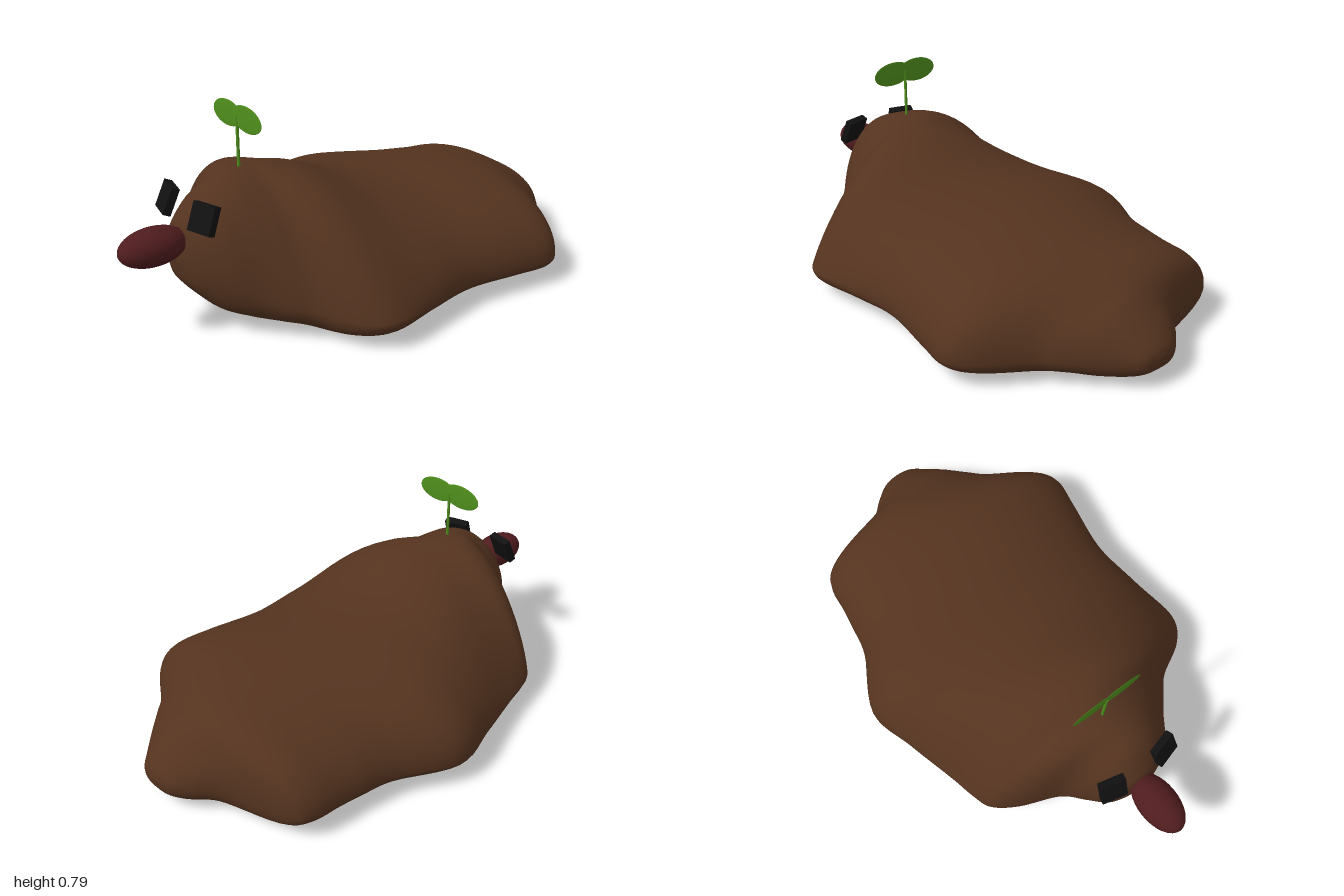
import * as THREE from 'three';

const mat = (color) => new THREE.MeshStandardMaterial({ color });

// Stations from tail to head: [z, right edge x, left edge x, crest y, rim y, underside y]
const stations = [
  [-1.0, 0.05, 0.09, 0.115, 0.1, 0.085],
  [-0.985, -0.01, 0.15, 0.15, 0.1, 0.06],
  [-0.94, -0.07, 0.2, 0.195, 0.1, 0.035],
  [-0.86, -0.17, 0.28, 0.26, 0.1, 0.02],
  [-0.79, -0.41, 0.35, 0.305, 0.1, 0.015],
  [-0.72, -0.47, 0.42, 0.335, 0.1, 0.012],
  [-0.61, -0.485, 0.58, 0.36, 0.1, 0.01],
  [-0.52, -0.5, 0.635, 0.375, 0.1, 0.01],
  [-0.38, -0.53, 0.615, 0.39, 0.1, 0.01],
  [-0.15, -0.645, 0.577, 0.405, 0.1, 0.008],
  [0.06, -0.6, 0.6, 0.44, 0.1, 0.004],
  [0.27, -0.545, 0.63, 0.525, 0.1, 0.0],
  [0.38, -0.52, 0.57, 0.55, 0.1, 0.005],
  [0.46, -0.49, 0.43, 0.56, 0.11, 0.015],
  [0.53, -0.4, 0.36, 0.558, 0.13, 0.03],
  [0.6, -0.25, 0.29, 0.54, 0.16, 0.05],
  [0.68, -0.18, 0.22, 0.5, 0.21, 0.085],
  [0.74, -0.13, 0.145, 0.43, 0.25, 0.15],
  [0.765, -0.08, 0.09, 0.385, 0.27, 0.19],
  [0.78, -0.02, 0.03, 0.3, 0.28, 0.26],
];

// Lumpy body: smooth loft of domed cross-sections along z
function bodyGeometry(rings = 115, sides = 72) {
  const spline = (k) => new THREE.CatmullRomCurve3(
    stations.map((s) => new THREE.Vector3(s[k], s[k + 1], s[k + 2])), false, 'catmullrom', 0.5);
  const plan = spline(0), profile = spline(3);
  const pos = [], index = [];
  for (let i = 0; i < rings; i++) {
    const { x: z, y: x0, z: x1 } = plan.getPoint(i / (rings - 1));
    const { x: crest, y: rim, z: base } = profile.getPoint(i / (rings - 1));
    // flanks are straighter around the shoulders, rounder elsewhere
    const power = 0.5 + 0.38 * Math.exp(-(((z - 0.32) / 0.24) ** 2));
    for (let j = 0; j < sides; j++) {
      const a = (j / sides) * Math.PI * 2, u = Math.cos(a);
      const y = Math.sin(a) >= 0
        ? rim + (crest - rim) * Math.max(0, 1 - u * u) ** power
        : rim - (rim - base) * Math.sqrt(Math.max(0, 1 - u ** 4));
      pos.push((x0 + x1) / 2 + ((x1 - x0) / 2) * u, y, z);
    }
  }
  for (let i = 0; i < rings - 1; i++) {
    for (let j = 0; j < sides; j++) {
      const k = (j + 1) % sides, r = i * sides, n = r + sides;
      index.push(r + j, r + k, n + k, r + j, n + k, n + j);
    }
  }
  // end caps
  const tail = pos.length / 3, last = (rings - 1) * sides;
  pos.push(0.07, 0.1, -1, 0.005, 0.28, 0.78);
  for (let j = 0; j < sides; j++) {
    const k = (j + 1) % sides;
    index.push(tail, k, j, tail + 1, last + j, last + k);
  }
  const g = new THREE.BufferGeometry();
  g.setAttribute('position', new THREE.Float32BufferAttribute(pos, 3));
  g.setIndex(index);
  g.computeVertexNormals();
  return g;
}

export function createModel() {
  const model = new THREE.Group();
  const add = (name, geometry, material, x, y, z, parent = model) => {
    const mesh = new THREE.Mesh(geometry, material);
    mesh.name = name;
    mesh.position.set(x, y, z);
    parent.add(mesh);
    return mesh;
  };

  add('body', bodyGeometry(), mat(0x54331f), 0, 0, 0);

  // Egg-shaped nose
  const nose = add('nose', new THREE.SphereGeometry(1, 32, 20), mat(0x4f1c1e), 0.005, 0.346, 0.868);
  nose.scale.set(0.078, 0.069, 0.132);

  // Square eyes, leaning back and turned outwards
  const black = mat(0x111111);
  for (const side of [-1, 1]) {
    const eye = add(side > 0 ? 'leftEye' : 'rightEye',
      new THREE.BoxGeometry(0.103, 0.105, 0.03), black, 0.005 + side * 0.124, 0.455, 0.733);
    eye.rotation.set(-0.4, side * 0.25, 0, 'YXZ');
  }

  // Sprout: stem with two flat leaves
  const sprout = new THREE.Group();
  sprout.name = 'sprout';
  model.add(sprout);
  const green = mat(0x4f8f1c);
  add('stem', new THREE.CylinderGeometry(0.006, 0.006, 0.22, 10), green, 0.006, 0.64, 0.505, sprout);
  for (const side of [-1, 1]) {
    const leaf = add(side > 0 ? 'leftLeaf' : 'rightLeaf',
      new THREE.SphereGeometry(1, 28, 16), green, 0.007 + side * 0.06, 0.746, 0.505, sprout);
    leaf.scale.set(0.092, 0.049, 0.003);
    leaf.rotation.z = side * -0.03;
  }
  return model;
}
